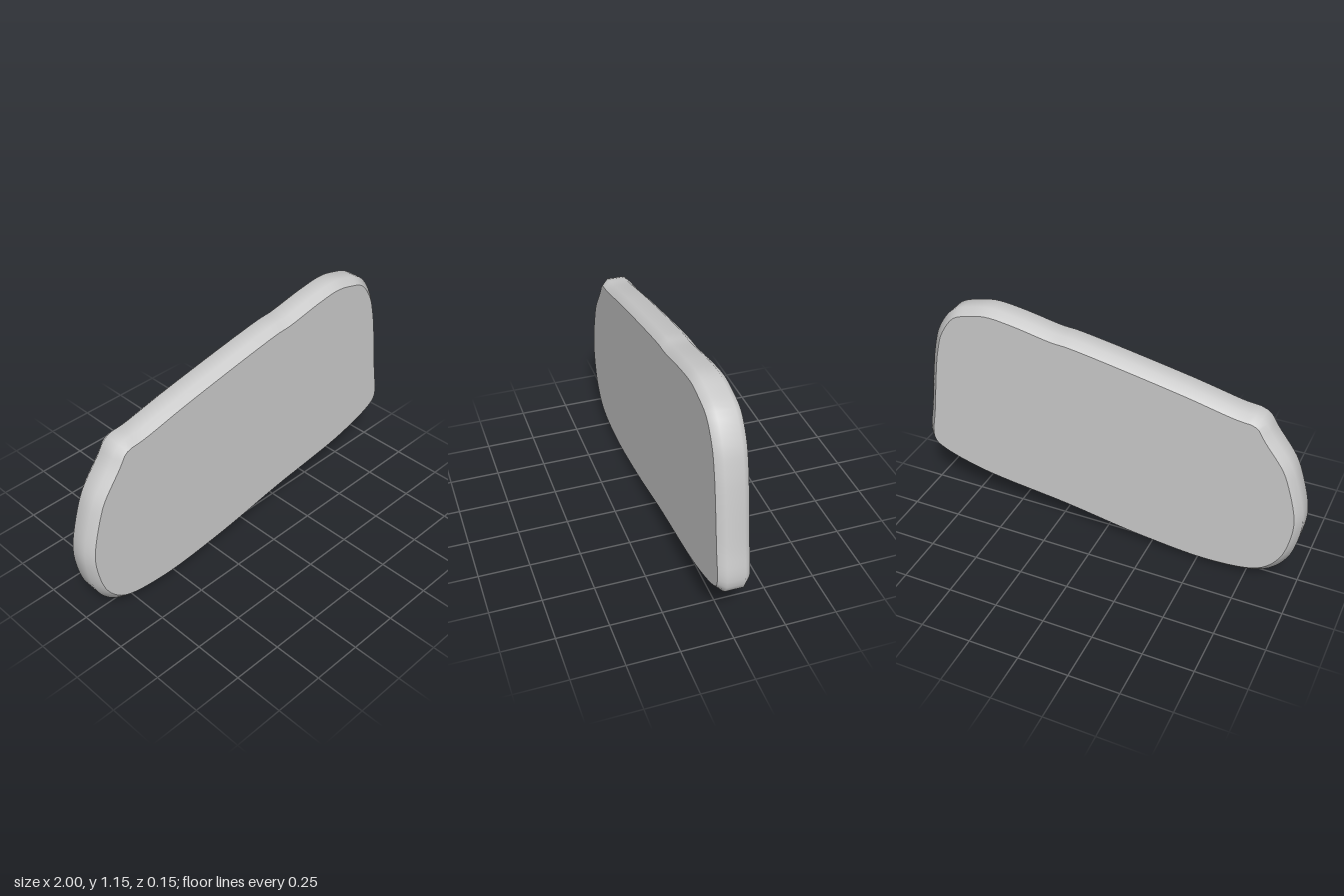
import * as THREE from 'three';

// Control points of the slab outline, counter-clockwise from the bottom
const OUTLINE = [
  [-0.57, 0.0], [-0.2, 0.03], [0.2, 0.095], [0.7, 0.165], [0.93, 0.24], [0.985, 0.285],
  [0.998, 0.345], [0.975, 0.5], [0.94, 0.76], [0.92, 0.87], [0.885, 0.985], [0.8, 1.1],
  [0.69, 1.14], [0.6, 1.155], [0.46, 1.14], [0.25, 1.1], [0.18, 1.095], [-0.39, 0.99],
  [-0.66, 0.93], [-0.74, 0.92], [-0.78, 0.895], [-0.815, 0.84], [-0.91, 0.71],
  [-0.94, 0.645], [-0.995, 0.44], [-0.995, 0.335], [-0.955, 0.175], [-0.89, 0.083], [-0.805, 0.03],
];
const HALF_DEPTH = 0.075;
const BEVEL = 0.033;
const SEGMENTS = 160;

// Outline moved inward along its normals
function insetLoop(loop, distance) {
  const n = loop.length;
  return loop.map((p, i) => {
    const a = loop[(i + n - 1) % n], b = loop[(i + 1) % n];
    const t = new THREE.Vector2().subVectors(b, a).normalize();
    return new THREE.Vector2(p.x - t.y * distance, p.y + t.x * distance);
  });
}

// Smooth band through rings ordered from back to front
function bandGeometry(rings) {
  const n = rings[0].loop.length;
  const positions = [], index = [];
  for (const { loop, z } of rings) for (const p of loop) positions.push(p.x, p.y, z);
  for (let r = 0; r < rings.length - 1; r++) {
    for (let i = 0; i < n; i++) {
      const a = r * n + i, b = r * n + (i + 1) % n;
      index.push(a, b, b + n, a, b + n, a + n);
    }
  }
  const geometry = new THREE.BufferGeometry();
  geometry.setAttribute('position', new THREE.Float32BufferAttribute(positions, 3));
  geometry.setIndex(index);
  geometry.computeVertexNormals();
  return geometry;
}

export function createModel() {
  const group = new THREE.Group();
  group.name = 'slab';
  const material = new THREE.MeshStandardMaterial({ color: 0xcccccc });
  const add = (name, geometry) => {
    const mesh = new THREE.Mesh(geometry, material);
    mesh.name = name;
    group.add(mesh);
    return mesh;
  };

  const curve = new THREE.CatmullRomCurve3(
    OUTLINE.map(([x, y]) => new THREE.Vector3(x, y, 0)), true, 'centripetal');
  const outer = curve.getSpacedPoints(SEGMENTS).slice(0, -1).map((p) => new THREE.Vector2(p.x, p.y));
  const inner = insetLoop(outer, BEVEL);

  // Bevelled rim
  add('bevelledRim', bandGeometry([
    { loop: inner, z: -HALF_DEPTH },
    { loop: outer, z: -HALF_DEPTH + BEVEL },
    { loop: outer, z: HALF_DEPTH - BEVEL },
    { loop: inner, z: HALF_DEPTH },
  ]));

  // Flat faces
  add('frontFace', new THREE.ShapeGeometry(new THREE.Shape(inner))).position.z = HALF_DEPTH;
  const back = new THREE.ShapeGeometry(new THREE.Shape(inner));
  back.index.array.reverse();
  back.computeVertexNormals();
  add('backFace', back).position.z = -HALF_DEPTH;

  return group;
}
